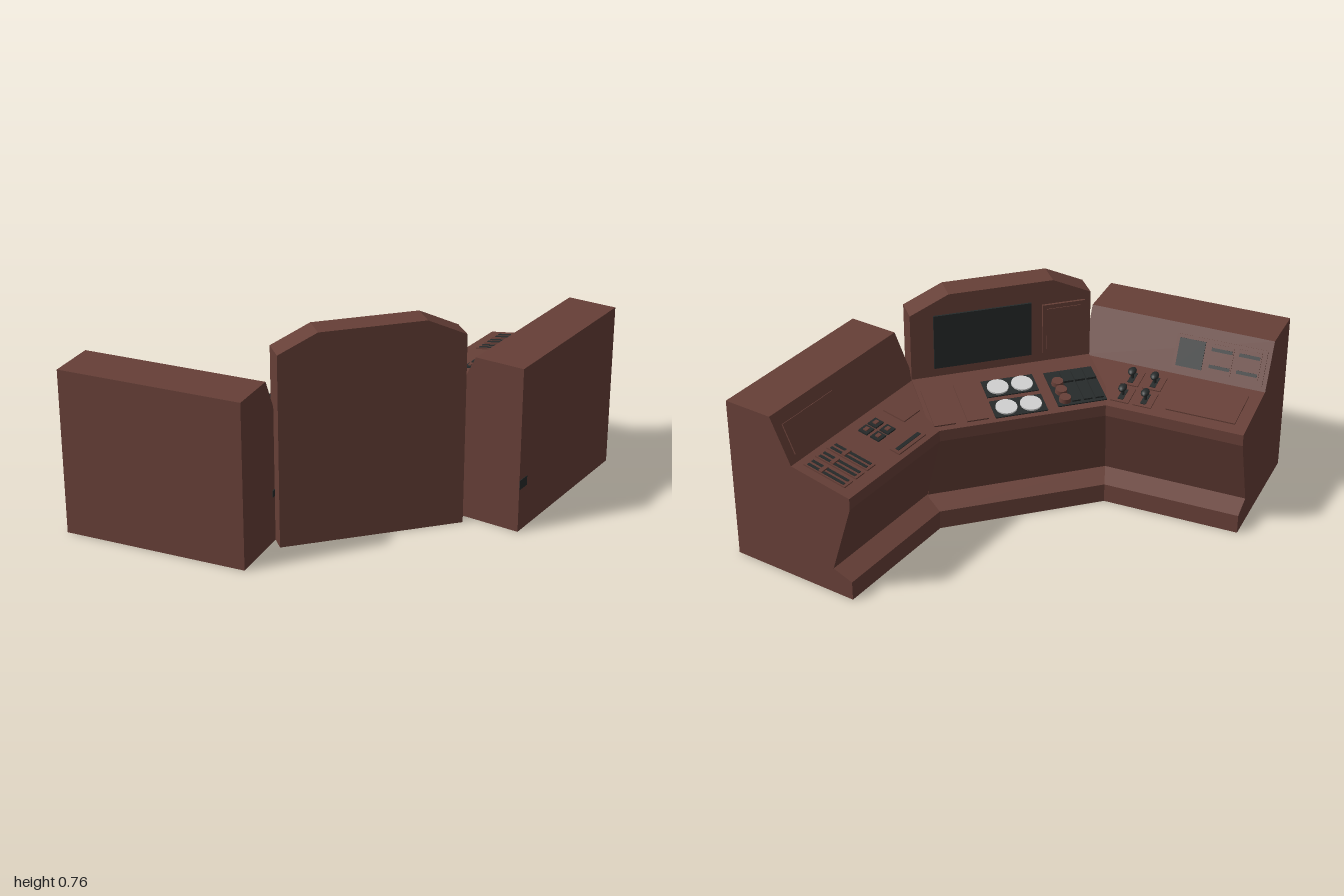
import * as THREE from 'three';

const mat = (name, color) => {
  const m = new THREE.MeshStandardMaterial({ color });
  m.name = name;
  return m;
};

export function createModel() {
  const brown = mat('brown casing', 0x663f37);
  const dark = mat('dark controls', 0x262a2a);
  const light = mat('light dials', 0xd0d0d0);
  const model = new THREE.Group();
  model.name = 'controlConsole';

  function add(parent, name, geometry, material, x = 0, y = 0, z = 0) {
    const m = new THREE.Mesh(geometry, material);
    m.name = name;
    m.position.set(x, y, z);
    parent.add(m);
    return m;
  }
  function group(parent, name, x, y, z, rx = 0, ry = 0) {
    const g = new THREE.Group();
    g.name = name;
    g.position.set(x, y, z);
    g.rotation.set(rx, ry, 0);
    parent.add(g);
    return g;
  }
  // Side profile of [z, y] points, extruded along x from x0 by width
  function extrudeAlongX(points, x0, width) {
    const shape = new THREE.Shape(points.map(p => new THREE.Vector2(...p)));
    return new THREE.ExtrudeGeometry(shape, { depth: width, bevelEnabled: false })
      .rotateY(-Math.PI / 2).translate(x0 + width, 0, 0);
  }
  // Plate on a surface group: centre x, distance d down the surface, size w by l
  const plate = (g, name, x, d, w, l, h, material, base = 0) =>
    add(g, name, new THREE.BoxGeometry(w, h, l), material, x, base + h / 2, -d);

  // Centre desk
  const centre = group(model, 'centreSection', 0, 0, 0);
  add(centre, 'centreDesk', extrudeAlongX([
    [0.28, 0], [0.28, 0.45], [0.19, 0.45], [-0.09, 0.402], [-0.09, 0.36],
    [-0.01, 0.097], [-0.085, 0.07], [-0.085, 0]], -0.328, 0.652), brown);

  // Upright display housing with chamfered top corners
  const wall = new THREE.Shape([[-0.328, 0], [0.324, 0], [0.324, 0.70], [0.185, 0.765],
    [-0.19, 0.765], [-0.328, 0.70]].map(p => new THREE.Vector2(...p)));
  add(centre, 'displayHousing',
    new THREE.ExtrudeGeometry(wall, { depth: 0.094, bevelEnabled: false }), brown, 0, 0, 0.19);
  const face = group(centre, 'displayFace', 0, 0.765, 0.19, -Math.PI / 2);
  plate(face, 'mainScreen', 0.066, 0.178, 0.352, 0.206, 0.007, dark);
  plate(face, 'sidePanel', -0.228, 0.185, 0.155, 0.19, 0.009, brown);
  plate(face, 'sidePanelInset', -0.228, 0.185, 0.125, 0.16, 0.003, brown, 0.009);

  // Centre desk controls
  const top = group(centre, 'centreControls', 0, 0.45, 0.19, -0.17);
  plate(top, 'sliderPlate', -0.222, 0.165, 0.176, 0.184, 0.004, dark);
  for (let i = 0; i < 3; i++) {
    plate(top, 'slider', -0.287 + i * 0.042, 0.165, 0.03, 0.16, 0.006, dark, 0.004);
    plate(top, 'sliderGrip', -0.287 + i * 0.042, 0.14, 0.036, 0.016, 0.008, dark, 0.01);
    add(top, 'knob', new THREE.CylinderGeometry(0.02, 0.022, 0.016, 12), brown,
      -0.165, 0.012, -0.14 - i * 0.045);
  }
  for (const d of [0.112, 0.222]) {
    plate(top, 'dialPlate', 0, d, 0.187, 0.088, 0.004, dark);
    for (const x of [-0.044, 0.044])
      add(top, 'dial', new THREE.CylinderGeometry(0.038, 0.038, 0.006, 20), light, x, 0.007, -d);
  }
  for (const x of [0.155, 0.272])
    plate(top, 'blankPanel', x, 0.165, 0.075, 0.195, 0.005, brown);

  // Angled wings; s is +1 for the left wing and -1 for the right
  function wing(name, s) {
    const w = group(model, name, s * 0.48, 0, 0.405, 0, s * THREE.MathUtils.degToRad(40));
    add(w, 'wingBody', extrudeAlongX([
      [0, 0], [0, 0.605], [-0.183, 0.605], [-0.261, 0.443], [-0.497, 0.402],
      [-0.497, 0.36], [-0.415, 0.097], [-0.49, 0.07], [-0.49, 0]],
    s > 0 ? 0 : -0.675, 0.675), brown);
    return {
      body: w,
      slope: group(w, 'slopeControls', 0, 0.605, -0.183, -1.122),
      desk: group(w, 'deskControls', 0, 0.443, -0.261, -0.172),
    };
  }

  // Left wing: slider banks, key pads and a slope panel
  const left = wing('leftWing', 1);
  plate(left.slope, 'slopePanel', 0.51, 0.1, 0.26, 0.11, 0.005, brown);
  for (const x of [0.5, 0.56, 0.62]) {
    plate(left.desk, 'sliderBank', x, 0.11, 0.044, 0.17, 0.005, brown);
    for (const k of [-0.011, 0.011])
      plate(left.desk, 'sliderSlot', x + k, 0.11, 0.011, 0.15, 0.002, dark, 0.005);
    plate(left.desk, 'sliderGrip', x, 0.09, 0.036, 0.014, 0.006, brown, 0.005);
  }
  plate(left.desk, 'keyStrip', 0.305, 0.2, 0.15, 0.04, 0.005, brown);
  plate(left.desk, 'keyStripSlot', 0.305, 0.2, 0.125, 0.014, 0.002, dark, 0.005);
  for (const x of [0.3, 0.352]) for (const d of [0.06, 0.11]) {
    plate(left.desk, 'button', x, d, 0.042, 0.036, 0.006, dark);
    plate(left.desk, 'buttonCap', x, d, 0.02, 0.014, 0.004, brown, 0.006);
  }
  plate(left.desk, 'smallPanel', 0.18, 0.08, 0.09, 0.09, 0.005, brown);
  // Cable port at the rear inner corner
  add(left.body, 'cablePort', new THREE.BoxGeometry(0.05, 0.035, 0.004), dark, 0.026, 0.177, 0);

  // Right wing: levers, a large panel and slope displays
  const right = wing('rightWing', -1);
  plate(right.slope, 'slopeFrame', -0.495, 0.1, 0.33, 0.125, 0.004, brown);
  plate(right.slope, 'slopeScreen', -0.39, 0.1, 0.095, 0.1, 0.003, dark, 0.004);
  for (const x of [-0.5, -0.6]) {
    plate(right.slope, 'slopeDisplay', x, 0.1, 0.085, 0.1, 0.003, brown, 0.004);
    for (const d of [0.07, 0.13])
      plate(right.slope, 'displayBar', x, d, 0.075, 0.012, 0.002, dark, 0.007);
  }
  plate(right.desk, 'largePanel', -0.505, 0.118, 0.25, 0.155, 0.005, brown);
  for (const x of [-0.215, -0.298]) for (const d of [0.075, 0.17]) {
    plate(right.desk, 'leverPlate', x, d, 0.066, 0.078, 0.004, brown);
    plate(right.desk, 'leverSlot', x, d, 0.02, 0.055, 0.002, dark, 0.004);
    add(right.desk, 'lever', new THREE.CylinderGeometry(0.006, 0.006, 0.03, 8), dark, x, 0.018, -d);
    add(right.desk, 'leverGrip', new THREE.SphereGeometry(0.015, 12, 8), dark, x, 0.035, -d)
      .scale.set(1, 0.7, 1.4);
  }
  add(right.body, 'cablePort', new THREE.BoxGeometry(0.004, 0.025, 0.03), dark, 0, 0.18, -0.235);
  return model;
}
